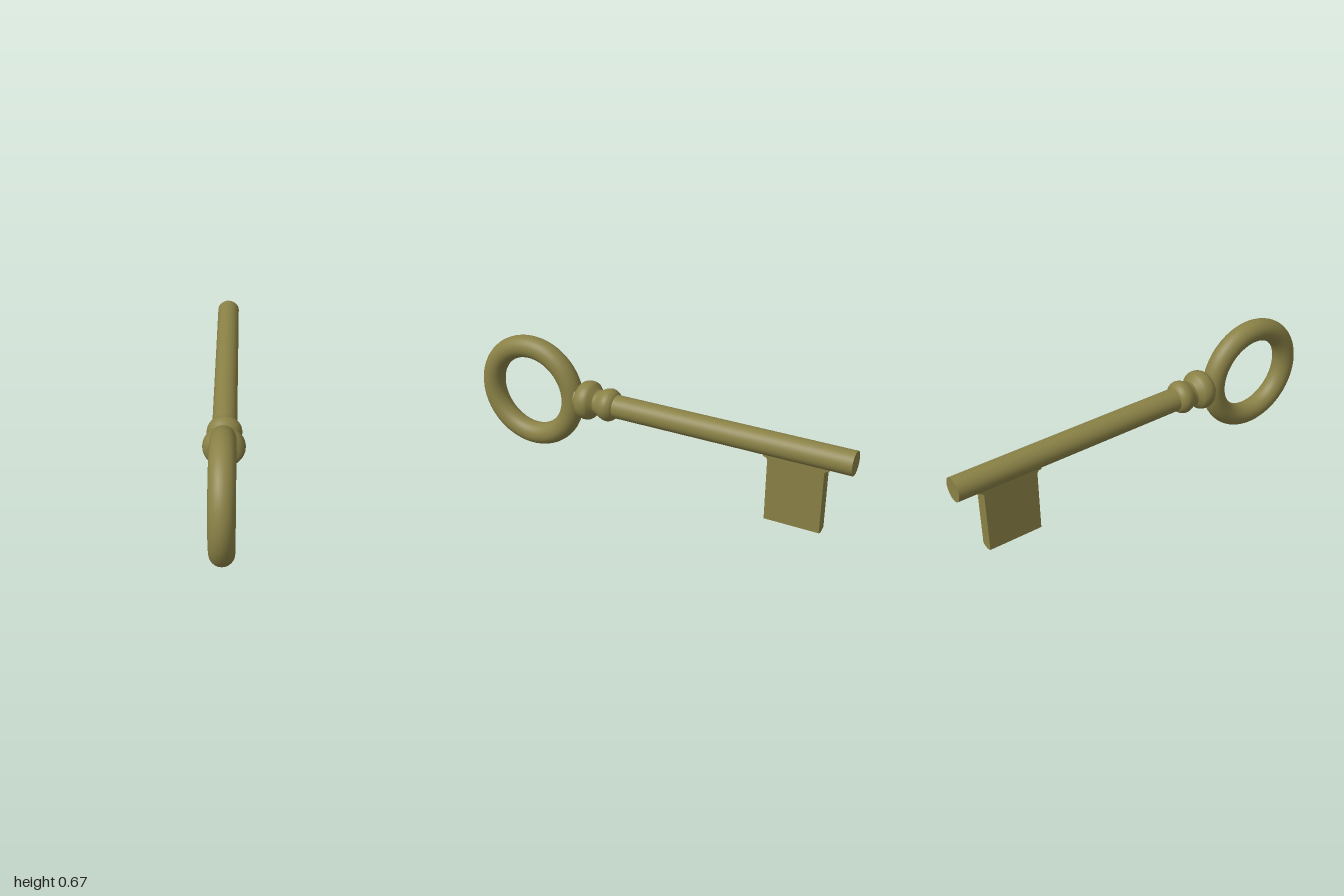
import * as THREE from 'three';

export function createModel() {
  const key = new THREE.Group();
  key.name = 'key';
  const material = new THREE.MeshStandardMaterial({ color: 0x8a8146 });
  const axisY = 0.397;

  const add = (name, geometry, x = 0, y = 0, z = 0) => {
    const mesh = new THREE.Mesh(geometry, material);
    mesh.name = name;
    mesh.position.set(x, y, z);
    key.add(mesh);
    return mesh;
  };

  // Round handle ring, standing in the y-z plane
  add('bow', new THREE.TorusGeometry(0.24, 0.0565, 32, 96).rotateY(Math.PI / 2), 0, 0.377, 0.7035);

  // Long round shaft, its front end buried in the ring
  const shaftLength = 1.43;
  add('shaft', new THREE.CylinderGeometry(0.058, 0.058, shaftLength, 48).rotateX(Math.PI / 2),
    0, axisY, -1 + shaftLength / 2);

  // Two turned beads: a narrow one towards the shaft and a wide one at the ring
  const profile = new THREE.SplineCurve([
    [0.056, 0.208], [0.068, 0.216], [0.079, 0.233], [0.082, 0.252],
    [0.077, 0.272], [0.066, 0.294], [0.063, 0.312], [0.075, 0.324],
    [0.092, 0.341], [0.098, 0.366], [0.093, 0.392], [0.078, 0.411], [0.052, 0.419],
  ].map(([r, z]) => new THREE.Vector2(r, z))).getPoints(60);
  profile.push(new THREE.Vector2(0, 0.419));
  add('collar', new THREE.LatheGeometry(profile, 64).rotateX(Math.PI / 2), 0, axisY, 0);

  // Flat bit with a bottom edge bowed across its thickness
  const half = 0.033;
  const section = new THREE.Shape();
  section.moveTo(-half, axisY);
  section.lineTo(-half, 0.011);
  section.quadraticCurveTo(0, -0.009, half, 0.011);
  section.lineTo(half, axisY);
  section.closePath();
  const bitLength = 0.272;
  add('bit', new THREE.ExtrudeGeometry(section, { depth: bitLength, bevelEnabled: false, curveSegments: 12 }),
    0, 0.001, -0.872);

  // Small fillets where the bit's ends meet the shaft
  for (const [name, z, side] of [['frontFillet', -0.6, 1], ['backFillet', -0.872, -1]]) {
    const u = -z;
    const fillet = new THREE.Shape();
    fillet.moveTo(u + side * 0.01, 0.37);
    fillet.lineTo(u - side * 0.022, 0.37);
    fillet.lineTo(u - side * 0.022, 0.341);
    fillet.quadraticCurveTo(u, 0.341, u, 0.319);
    fillet.lineTo(u + side * 0.01, 0.319);
    fillet.closePath();
    const geometry = new THREE.ExtrudeGeometry(fillet, { depth: half * 2 - 0.001, bevelEnabled: false, curveSegments: 8 });
    add(name, geometry.rotateY(Math.PI / 2), -half + 0.0005, 0, 0);
  }

  return key;
}
